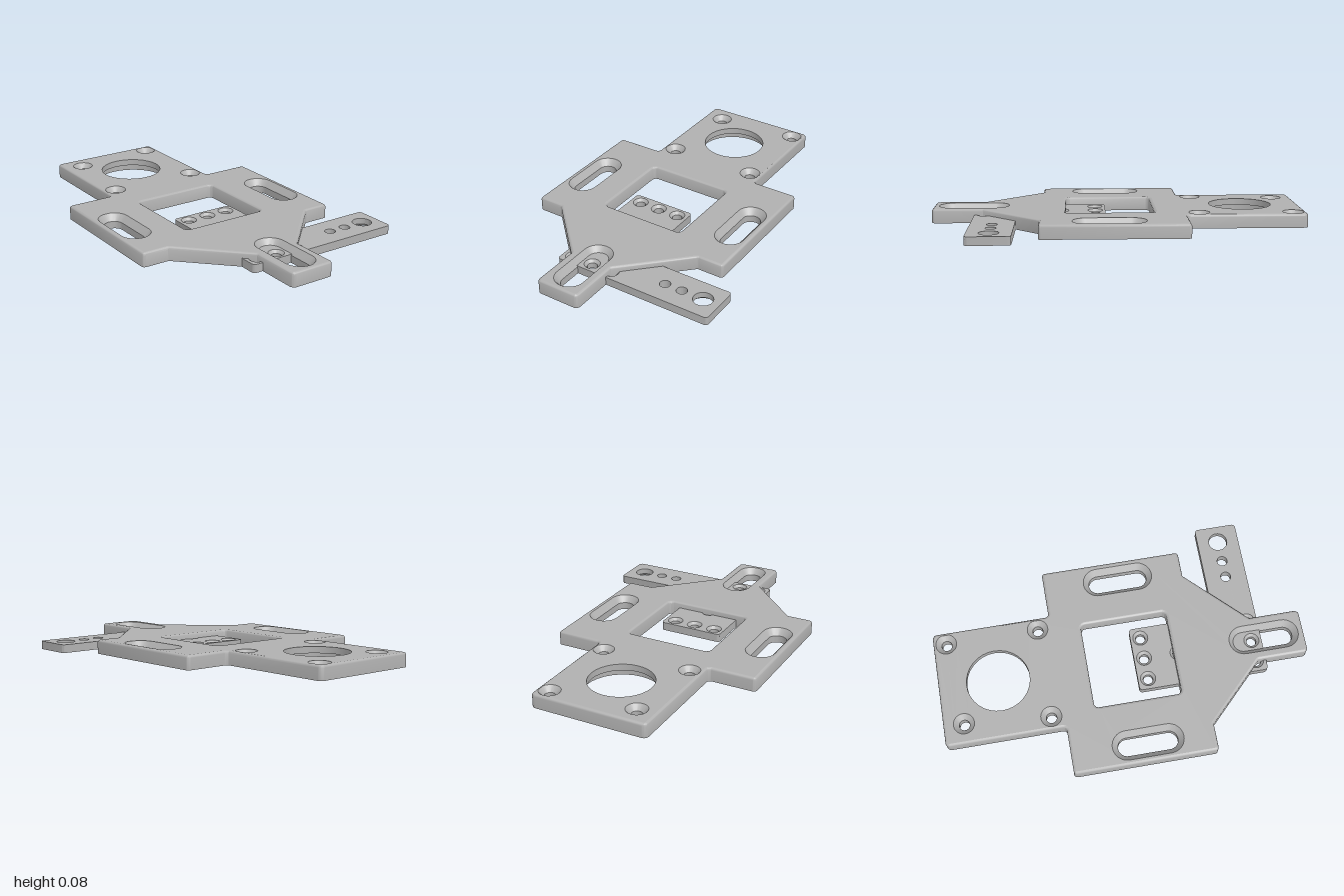
import * as THREE from 'three';
import { mergeGeometries, toCreasedNormals } from 'three/addons/utils/BufferGeometryUtils.js';

const H = 0.075;      // main plate thickness
const ARM_H = 0.045;  // bracket thickness
const F = 0.014;      // edge fillet
const CX = -0.067;    // plate centre line

// Rounded polygon, grown outward by g. Corners are [x, z, radius], anticlockwise from above.
function outline(corners, g, steps = 8) {
  const pts = corners.map(([x, z]) => new THREE.Vector2(x, -z));
  const out = [];
  pts.forEach((p, i) => {
    const d0 = p.clone().sub(pts.at(i - 1)).normalize();
    const d1 = pts[(i + 1) % pts.length].clone().sub(p).normalize();
    const n0 = new THREE.Vector2(d0.y, -d0.x), n1 = new THREE.Vector2(d1.y, -d1.x);
    const s = Math.sign(d0.cross(d1));
    const R = Math.max(corners[i][2] + s * g, 0.001);
    const miter = n0.clone().add(n1).divideScalar(1 + n0.dot(n1));
    const c = p.clone().addScaledVector(miter, g - s * R);
    const a0 = Math.atan2(n0.y, n0.x), turn = Math.atan2(n0.cross(n1), n0.dot(n1));
    for (let k = 0; k <= steps; k++) {
      const a = a0 + turn * k / steps;
      out.push(new THREE.Vector2(c.x + s * R * Math.cos(a), c.y + s * R * Math.sin(a)));
    }
  });
  return out;
}

const rect = (x0, x1, z0, z1, r) => [[x0, z1, r], [x1, z1, r], [x1, z0, r], [x0, z0, r]];
const round = (x, z, r) => rect(x - r, x + r, z - r, z + r, r - 0.0005);
const slot = (x, z, halfW, halfL) => rect(x - halfW, x + halfW, z - halfL, z + halfL, halfW - 0.0005);

function geometryFrom(positions) {
  const g = new THREE.BufferGeometry();
  g.setAttribute('position', new THREE.Float32BufferAttribute(positions, 3));
  return g;
}

// Solid plate: each loop is { corners, profile }, profile = [y, grow] from bottom to top.
function plate(outer, holes) {
  const wall = [], cap = [];
  const push = (list, p, y) => list.push(p.x, y, -p.y);
  const loops = [outer, ...holes].map(({ corners, profile }, index) => {
    const rings = profile.map(([y, g]) => ({ y, pts: outline(corners, g) }));
    for (let j = 0; j + 1 < rings.length; j++) {
      const lo = rings[j], hi = rings[j + 1], n = lo.pts.length;
      for (let i = 0; i < n; i++) {
        const k = (i + 1) % n;
        const [a, b] = index === 0 ? [i, k] : [k, i];
        push(wall, lo.pts[a], lo.y); push(wall, lo.pts[b], lo.y); push(wall, hi.pts[b], hi.y);
        push(wall, lo.pts[a], lo.y); push(wall, hi.pts[b], hi.y); push(wall, hi.pts[a], hi.y);
      }
    }
    return rings;
  });
  for (const top of [true, false]) {
    const ends = loops.map(r => (top ? r.at(-1) : r[0]));
    const contour = ends[0].pts, inner = ends.slice(1).map(e => e.pts.slice().reverse());
    const all = [contour, ...inner].flat();
    for (const [a, b, c] of THREE.ShapeUtils.triangulateShape(contour, inner)) {
      for (const v of top ? [a, b, c] : [a, c, b]) push(cap, all[v], ends[0].y);
    }
  }
  const capGeo = geometryFrom(cap);
  capGeo.computeVertexNormals();
  return mergeGeometries([toCreasedNormals(geometryFrom(wall), 0.6), capGeo]);
}

// Quarter-round along the top edge; sign -1 for the rim, +1 for an opening
const fillet = sign => {
  const p = [[0, 0]];
  for (let k = 0; k <= 4; k++) {
    const a = k / 4 * Math.PI / 2;
    p.push([H - F + F * Math.sin(a), sign * F * (1 - Math.cos(a))]);
  }
  return p;
};
const sunk = (h, w, depth = w) => [[0, 0], [h - depth, 0], [h, w]];
const straight = h => [[0, 0], [h, 0]];

export function createModel() {
  const model = new THREE.Group();
  const grey = new THREE.MeshStandardMaterial({ color: 0xb0b0b0 });
  grey.name = 'plain grey';

  // Left-hand half outline from the front tongue to the rear edge, mirrored about CX
  const half = [
    [0.123, 0.995, 0.025], [0.123, 0.72, 0.012], [0.433, 0.41, 0.012], [0.578, 0.41, 0.018],
    [0.578, -0.36, 0.018], [0.318, -0.36, 0.02], [0.318, -1, 0.025],
  ];
  const rim = [
    ...half.map(([x, z, r]) => [CX + x, z, r]),
    ...half.slice().reverse().map(([x, z, r]) => [CX - x, z, r]),
  ];

  const screwHoles = [[-0.275, -0.89], [0.185, -0.93], [-0.315, -0.43], [0.185, -0.43]];
  const slots = [[CX - 0.472, 0.05], [CX + 0.472, 0.05], [CX, 0.775]];
  const mainPlate = new THREE.Mesh(plate({ corners: rim, profile: fillet(-1) }, [
    // window
    { corners: rect(-0.305, 0.171, -0.196, 0.276, 0.025), profile: fillet(1) },
    // large bore, wider underneath
    { corners: round(CX, -0.68, 0.17), profile: [[0, 0.03], [0.04, 0.03], [0.04, 0], [H, 0]] },
    ...screwHoles.map(([x, z]) => ({ corners: round(x, z, 0.028), profile: sunk(H, 0.028) })),
    ...slots.map(([x, z]) => ({ corners: slot(x, z, 0.05, 0.161), profile: sunk(H, 0.03, 0.036) })),
  ]), grey);
  mainPlate.name = 'mainPlate';

  // L-shaped bracket that runs under the front of the plate
  const bracketRim = [
    [-0.243, 0.765, 0.018], [0.64, 0.765, 0.018], [0.64, 0.535, 0.018],
    [0.11, 0.535, 0.01], [0.11, 0.06, 0.018], [-0.243, 0.06, 0.018],
  ];
  const bracketScrews = [[CX, 0.3]];
  for (const z of [0.115, 0.71]) for (const dx of [-0.118, 0, 0.118]) bracketScrews.push([CX + dx, z]);
  const bracket = new THREE.Mesh(plate({ corners: bracketRim, profile: straight(ARM_H) }, [
    ...bracketScrews.map(([x, z]) => ({ corners: round(x, z, 0.026), profile: sunk(ARM_H, 0.015) })),
    ...[0.33, 0.427].map(x => ({ corners: round(x, 0.65, 0.028), profile: straight(ARM_H) })),
    { corners: round(0.548, 0.65, 0.051), profile: [[0, 0.014], [0.014, 0], [ARM_H, 0]] },
  ]), grey);
  bracket.name = 'sideBracket';

  model.add(mainPlate, bracket);
  return model;
}
